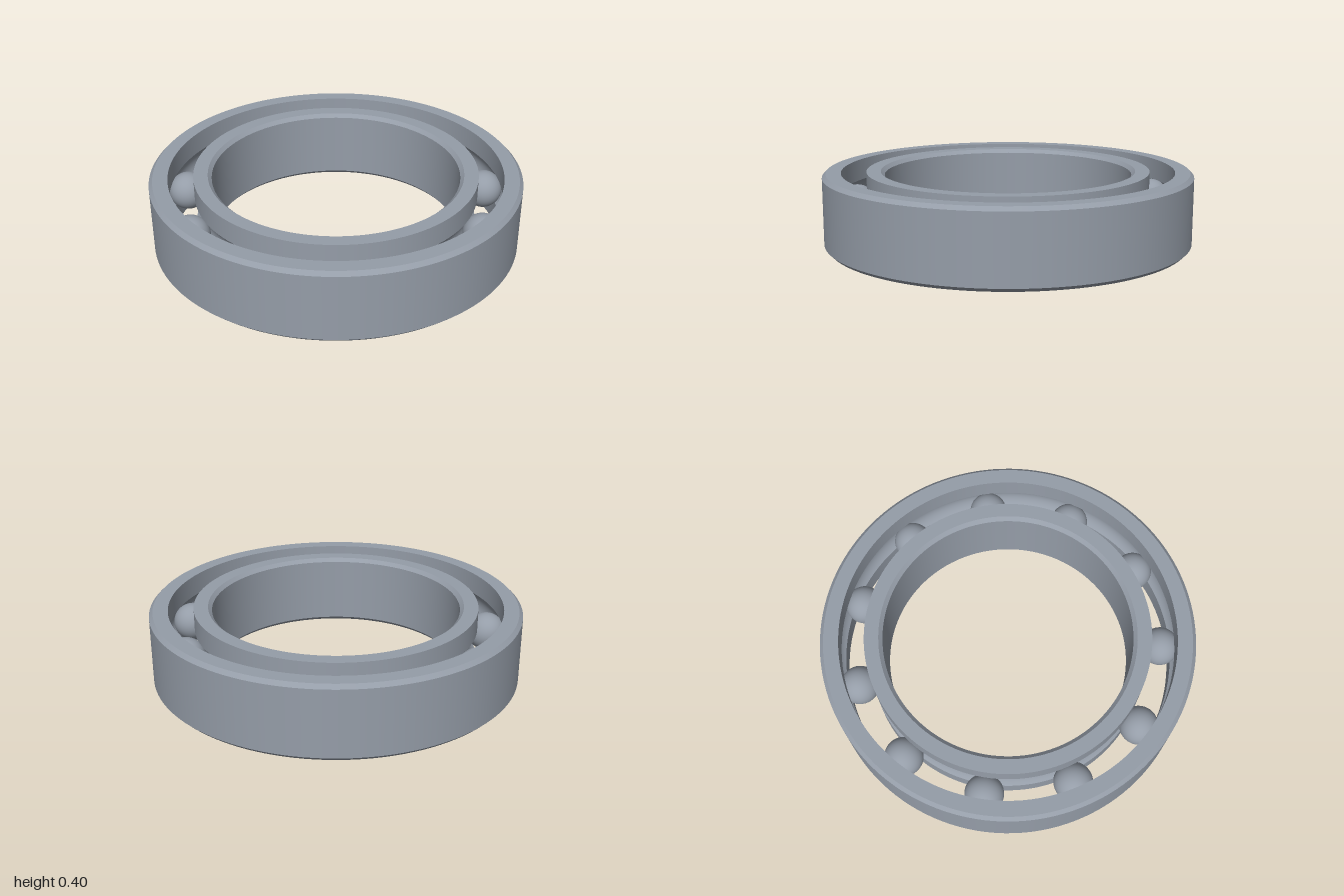
import * as THREE from 'three';
import { mergeGeometries } from 'three/addons/utils/BufferGeometryUtils.js';

const HEIGHT = 0.4, MID = HEIGHT / 2, CHAMFER = 0.02;
const PITCH = 0.8325, BALL_RADIUS = 0.104, BALLS = 11;
const INNER_RACE = 0.765, OUTER_RACE = 0.9;

// Each run is lathed on its own, so edges between runs stay sharp.
function lathe(runs) {
  return mergeGeometries(runs.map(run =>
    new THREE.LatheGeometry(run.map(([r, y]) => new THREE.Vector2(r, y)), 128)));
}

// Circular ball groove; side is +1 for the outer ring, -1 for the inner ring.
function groove(raceRadius, side) {
  const radius = BALL_RADIUS + 0.002;
  const half = Math.acos(Math.abs(raceRadius - PITCH) / radius);
  const points = [];
  for (let i = 0; i <= 16; i++) {
    const a = half * (1 - i / 8);
    points.push([PITCH + side * radius * Math.cos(a), MID + side * radius * Math.sin(a)]);
  }
  return points;
}

// Ring section, counterclockwise: outer side up, inner side down.
function ring(inner, outer, grooveOnInside) {
  const ci = grooveOnInside ? 0 : CHAMFER, co = grooveOnInside ? CHAMFER : 0;
  const race = groove(grooveOnInside ? inner : outer, grooveOnInside ? 1 : -1);
  const raceSide = (start, end) => [[start, race[0]], race, [race[race.length - 1], end]];
  const outerLow = [outer, co], outerHigh = [outer, HEIGHT - co];
  const innerHigh = [inner, HEIGHT - ci], innerLow = [inner, ci];
  const top = [[outer - co, HEIGHT], [inner + ci, HEIGHT]];
  const bottom = [[inner + ci, 0], [outer - co, 0]];
  const runs = [top, bottom];
  if (grooveOnInside) {
    runs.push([outerLow, outerHigh], ...raceSide(innerHigh, innerLow));
    runs.push([outerHigh, top[0]], [bottom[1], outerLow]);
  } else {
    runs.push(...raceSide(outerLow, outerHigh), [innerHigh, innerLow]);
    runs.push([top[1], innerHigh], [innerLow, bottom[0]]);
  }
  return lathe(runs);
}

export function createModel() {
  const steel = new THREE.MeshStandardMaterial({ color: 0x959da8 });
  steel.name = 'steel grey';
  const model = new THREE.Group();
  model.name = 'ballBearing';

  const add = (name, geometry, parent = model) => {
    const mesh = new THREE.Mesh(geometry, steel);
    mesh.name = name;
    parent.add(mesh);
    return mesh;
  };

  add('outerRing', ring(OUTER_RACE, 1, true));
  add('innerRing', ring(0.668, INNER_RACE, false));

  // Balls evenly spaced in the raceway
  const balls = new THREE.Group();
  balls.name = 'balls';
  model.add(balls);
  const ballGeometry = new THREE.SphereGeometry(BALL_RADIUS, 40, 24);
  for (let i = 0; i < BALLS; i++) {
    const a = THREE.MathUtils.degToRad(3.7) + i * 2 * Math.PI / BALLS;
    add(`ball${i + 1}`, ballGeometry, balls)
      .position.set(PITCH * Math.sin(a), MID, -PITCH * Math.cos(a));
  }
  return model;
}
